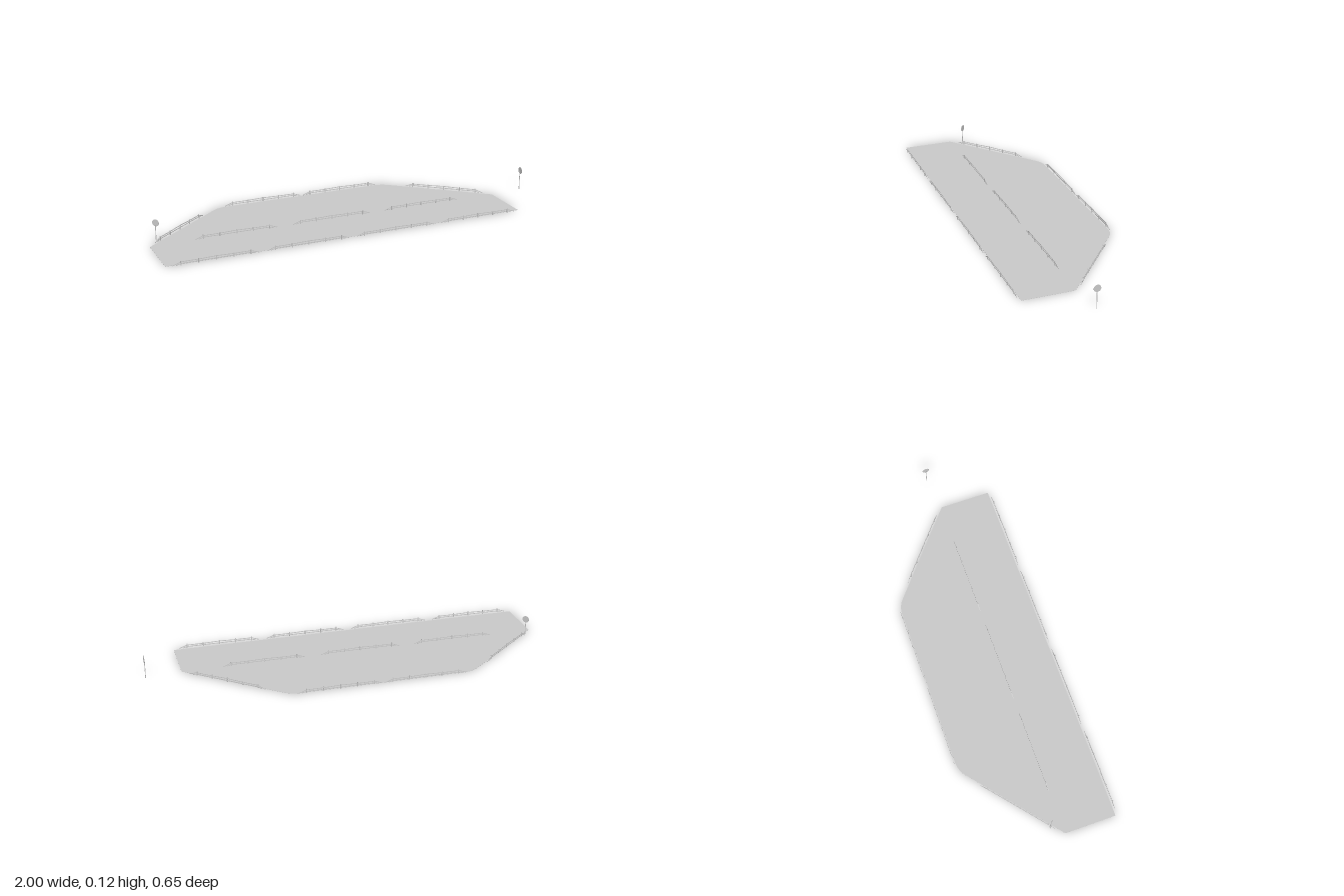
import * as THREE from 'three';

const grey = new THREE.MeshStandardMaterial({ color: 0xcccccc, flatShading: true });

function add(parent, name, geometry, x = 0, y = 0, z = 0) {
  const mesh = new THREE.Mesh(geometry, grey);
  mesh.name = name;
  mesh.position.set(x, y, z);
  parent.add(mesh);
  return mesh;
}

// Square bars joining a row of [x, y] points
function addRail(parent, name, points, z) {
  for (let i = 1; i < points.length; i++) {
    const [x0, y0] = points[i - 1], [x1, y1] = points[i];
    const bar = add(parent, name, new THREE.BoxGeometry(Math.hypot(x1 - x0, y1 - y0), 0.0035, 0.002),
      (x0 + x1) / 2, (y0 + y1) / 2, z);
    bar.rotation.z = Math.atan2(y1 - y0, x1 - x0);
  }
}

// One barrier section: five posts, two rails dipping to the ground at both ends
function makeBarrier(x, z, angle = 0) {
  const barrier = new THREE.Group();
  barrier.name = 'barrier';
  for (let i = -2; i <= 2; i++) {
    add(barrier, 'barrierPost', new THREE.BoxGeometry(0.005, 0.022, 0.003), i * 0.083, 0.011, 0);
  }
  addRail(barrier, 'upperRail', [[-0.205, 0.002], [-0.166, 0.016], [-0.083, 0.016], [0, 0.0185],
    [0.083, 0.016], [0.166, 0.016], [0.205, 0.002]], -0.002);
  addRail(barrier, 'lowerRail', [[-0.187, 0.002], [-0.166, 0.008], [0.166, 0.008], [0.187, 0.002]], -0.002);
  barrier.position.set(x, 0, z);
  barrier.rotation.y = angle;
  return barrier;
}

// Round sign on a slim pole, its face turned about the pole
function makeSign(x, z, centreY, radius, angle) {
  const sign = new THREE.Group();
  sign.name = 'roadSign';
  add(sign, 'signPole', new THREE.CylinderGeometry(0.0018, 0.0018, centreY, 8), 0, centreY / 2, 0);
  const disc = add(sign, 'signDisc', new THREE.CylinderGeometry(radius, radius, 0.0015, 32), 0, centreY, 0.0022);
  disc.rotation.x = Math.PI / 2;
  sign.position.set(x, 0, z);
  sign.rotation.y = angle;
  return sign;
}

export function createModel() {
  const model = new THREE.Group();
  model.name = 'roadsideParkingBay';

  // Paved ground with two slanted sides and rounded back corners (shape y is -z)
  const s = new THREE.Shape();
  s.moveTo(-1, -0.315);
  s.lineTo(0.82, -0.315);
  s.lineTo(0.82, -0.06);
  s.lineTo(0.4, 0.29);
  s.quadraticCurveTo(0.365, 0.321, 0.32, 0.321);
  s.lineTo(-0.5, 0.321);
  s.quadraticCurveTo(-0.545, 0.321, -0.58, 0.29);
  s.lineTo(-1, -0.06);
  s.closePath();
  const slab = new THREE.ExtrudeGeometry(s, { depth: 0.001, bevelEnabled: false, curveSegments: 8 });
  add(model, 'pavement', slab.rotateX(-Math.PI / 2));

  // Barriers: front edge, middle island, back edge and slanted sides
  for (let i = 0; i < 4; i++) model.add(makeBarrier(-0.765 + i * 0.45, 0.326));
  for (let i = 0; i < 3; i++) model.add(makeBarrier(-0.575 + i * 0.492, 0.058));
  for (const x of [-0.3, 0.125]) model.add(makeBarrier(x, -0.324));
  model.add(makeBarrier(-0.805, -0.109, 0.695));
  model.add(makeBarrier(0.627, -0.109, -0.695));

  // Entry and exit signs
  model.add(makeSign(-0.953, 0, 0.092, 0.0175, Math.PI * 0.75));
  model.add(makeSign(0.997, 0.037, 0.101, 0.0175, Math.PI / 2));
  return model;
}
